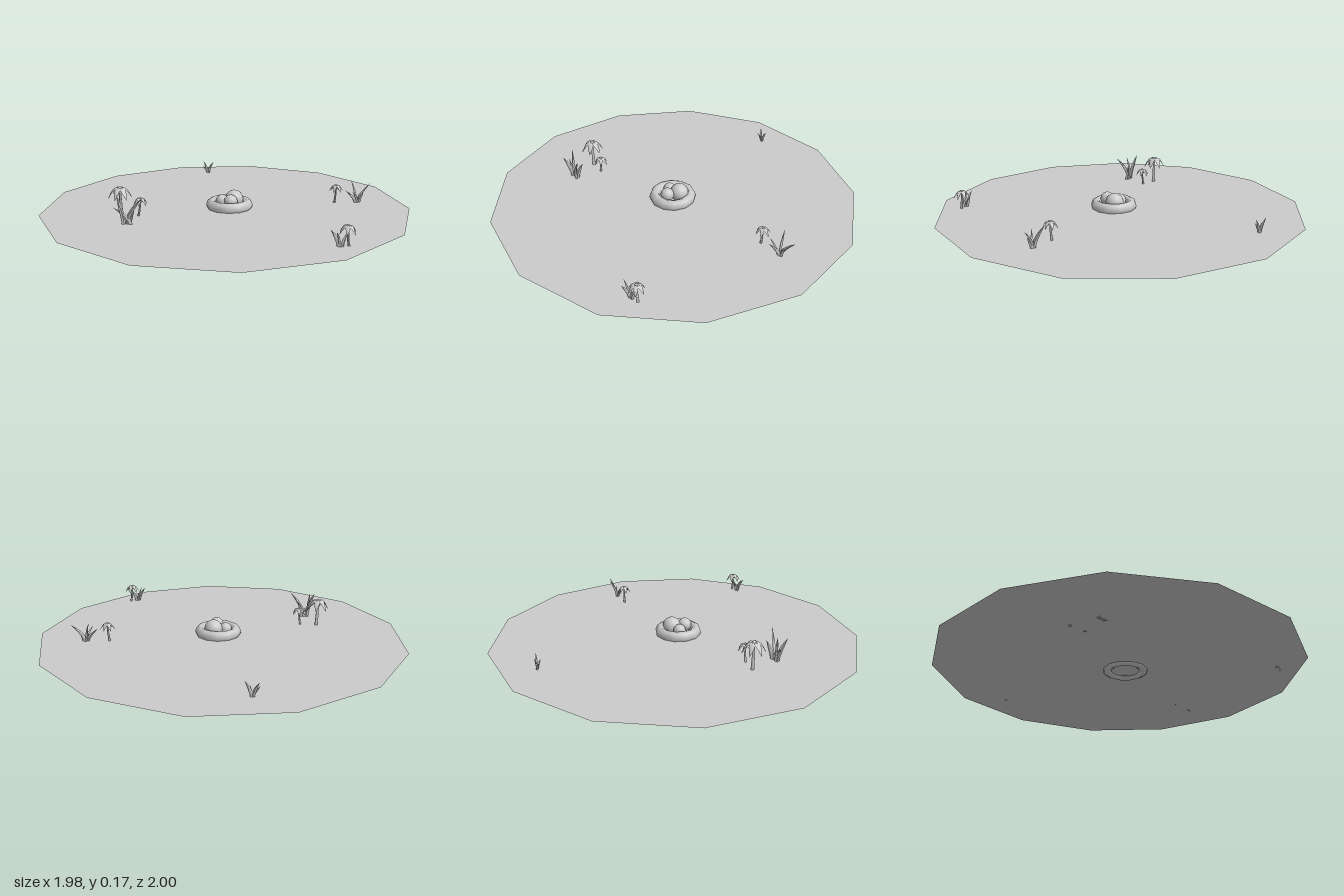
import * as THREE from 'three';

const GROUND_Y = 0.017;
const mat = new THREE.MeshStandardMaterial({ color: 0xcccccc, side: THREE.DoubleSide });

function add(parent, name, geometry, x = 0, y = 0, z = 0) {
  const mesh = new THREE.Mesh(geometry, mat);
  mesh.name = name;
  mesh.position.set(x, y, z);
  parent.add(mesh);
  return mesh;
}

// Move every vertex of a geometry by a rule
function reshape(geometry, rule) {
  const p = geometry.attributes.position;
  const v = new THREE.Vector3();
  for (let i = 0; i < p.count; i++) {
    v.fromBufferAttribute(p, i);
    rule(v);
    p.setXYZ(i, v.x, v.y, v.z);
  }
  geometry.computeVertexNormals();
  return geometry;
}

// Flat tapered blade that leans further out towards its tip (dx, dz)
function bladeGeometry(height, dx, dz, width) {
  const angle = Math.atan2(dz, dx);
  const c = Math.cos(angle), s = Math.sin(angle);
  return reshape(new THREE.CylinderGeometry(1, 1, 1, 4, 5), (v) => {
    const t = v.y + 0.5;
    const r = width * (0.75 + 0.9 * t) * (1 - t * t) + 0.0004;
    const a = v.x * r * 0.9, b = v.z * r * 0.55;
    const lean = t ** 1.7;
    v.set(a * c - b * s + dx * lean, t * height, a * s + b * c + dz * lean);
  });
}

// Folded petal that rises from the centre and droops at its tip
function petalGeometry(length, width, droop) {
  return reshape(new THREE.PlaneGeometry(1, 1, 2, 5), (v) => {
    const t = v.y + 0.5;
    const w = width * (0.25 + 0.75 * Math.sin(Math.PI * Math.min(1, t * 1.05))) * (t > 0.99 ? 0.1 : 1);
    const arch = 0.3 * Math.sin(Math.PI * t) - t * t;
    v.set(t * length, arch * droop - Math.abs(v.x) * width * 0.5, v.x * w);
  });
}

// Tuft: blades given as [base x, base z, tip x, tip z, height]
function grassTuft(name, x, z, width, blades) {
  const tuft = new THREE.Group();
  tuft.name = name;
  tuft.position.set(x, GROUND_Y - 0.003, z);
  for (const [bx, bz, tx, tz, h] of blades) {
    add(tuft, 'blade', bladeGeometry(h, tx - bx, tz - bz, width), bx, 0, bz);
  }
  return tuft;
}

function flower(name, x, z, top, radius, turn, baseX) {
  const group = new THREE.Group();
  group.name = name;
  group.position.set(x, 0, z);
  const headY = top - radius * 0.17;
  // Stem, thinner and bent towards the head
  const height = headY - GROUND_Y + 0.003;
  add(group, 'stem', reshape(new THREE.CylinderGeometry(1, 1, 1, 6, 4), (v) => {
    const t = v.y + 0.5;
    const r = radius * (0.17 - 0.06 * t);
    v.set(v.x * r + baseX * (1 - t) ** 2, t * height, v.z * r);
  }), 0, GROUND_Y - 0.003, 0);
  // Six petals around a small bud
  for (let i = 0; i < 6; i++) {
    const petal = add(group, 'petal', petalGeometry(radius, radius * 0.52, radius * 0.75), 0, headY, 0);
    petal.rotation.y = turn + i * Math.PI / 3;
  }
  add(group, 'bud', new THREE.SphereGeometry(radius * 0.2, 8, 6), 0, headY, 0);
  return group;
}

export function createModel() {
  const model = new THREE.Group();
  model.name = 'nestClearing';

  // Thirteen-sided ground disc
  add(model, 'ground', new THREE.CircleGeometry(1.007, 13).rotateX(-Math.PI / 2), -0.017, GROUND_Y, 0);

  // Nest ring, partly sunk into the ground
  const nest = new THREE.Group();
  nest.name = 'nest';
  nest.position.set(0.004, 0, 0.028);
  const ring = new THREE.TorusGeometry(0.1, 0.028, 8, 12).rotateX(Math.PI / 2).scale(1, 1.18, 1);
  add(nest, 'nestRing', ring, 0, 0.033, 0);

  // Three eggs: x, y, z, radius
  for (const [x, y, z, r] of [[0.025, 0.058, -0.028, 0.05], [-0.041, 0.052, -0.008, 0.034], [0.009, 0.062, 0.042, 0.037]]) {
    add(nest, 'egg', new THREE.SphereGeometry(r, 18, 12), x, y, z);
  }
  model.add(nest);

  // Flowers
  model.add(
    flower('tallFlower', -0.563, 0.205, 0.172, 0.06, 0.25, 0.005),
    flower('smallFlower', -0.456, 0.212, 0.116, 0.038, 0.5, -0.012),
    flower('rightFlower', 0.598, -0.103, 0.12, 0.038, 0.1, -0.008),
    flower('frontFlower', 0.58, 0.637, 0.12, 0.042, 0.35, 0.008),
  );

  // Grass tufts
  model.add(
    grassTuft('leftGrass', -0.5, 0.36, 0.014, [
      [0.0, 0, 0.085, 0.025, 0.145],
      [-0.015, 0, -0.055, -0.02, 0.15],
      [-0.02, 0.005, -0.035, 0.05, 0.13],
      [0.015, -0.005, 0.04, -0.03, 0.1],
      [0.02, 0.005, -0.07, 0.0, 0.09],
    ]),
    grassTuft('rightGrass', 0.715, -0.115, 0.012, [
      [0.005, 0, 0.075, -0.025, 0.105],
      [0, 0, -0.028, -0.05, 0.118],
      [-0.005, 0.005, -0.065, 0.01, 0.072],
      [0.005, 0.005, -0.03, 0.05, 0.075],
      [0.012, 0, 0.035, 0.005, 0.06],
    ]),
    grassTuft('frontGrass', 0.545, 0.65, 0.012, [
      [-0.005, 0, -0.045, 0.005, 0.085],
      [0, 0, -0.02, 0.035, 0.08],
      [0.01, 0, 0.035, -0.015, 0.07],
      [0, -0.005, -0.01, -0.025, 0.06],
    ]),
    grassTuft('backGrass', -0.18, -0.792, 0.01, [
      [0.003, 0, 0.036, 0.004, 0.078],
      [-0.003, 0, -0.03, -0.014, 0.078],
      [0, 0, -0.035, 0.008, 0.05],
      [0.003, 0, 0.012, 0.022, 0.05],
    ]),
  );
  return model;
}
